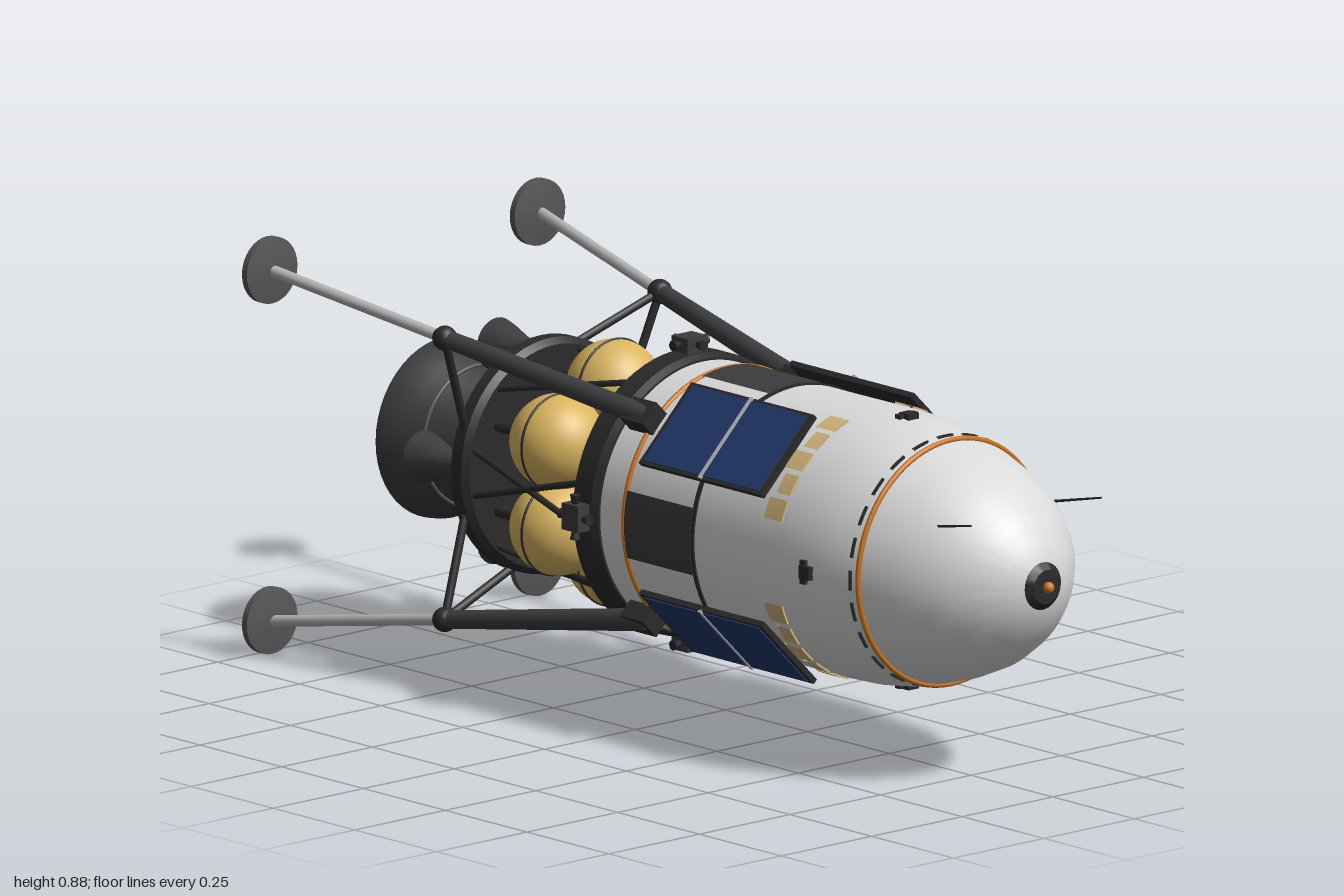
import * as THREE from 'three';
import { toCreasedNormals } from 'three/addons/utils/BufferGeometryUtils.js';

const mat = (name, color) => {
  const m = new THREE.MeshStandardMaterial({ color, side: THREE.DoubleSide });
  m.name = name;
  return m;
};

export function createModel() {
  const white = mat('hull white', 0xdadada);
  const black = mat('charcoal', 0x2a2a2a);
  const dark = mat('dark grey', 0x3c3c3e);
  const grey = mat('mid grey', 0x565658);
  const silver = mat('silver', 0xb4b4b4);
  const orange = mat('orange', 0xc8741e);
  const gold = mat('gold foil', 0xdab560);
  const tan = mat('tan', 0xd2b47c);
  const navy = mat('solar blue', 0x22386a);

  const root = new THREE.Group();
  root.name = 'spacecraft';
  // the long axis of the craft runs along z through this group's origin
  const craft = new THREE.Group();
  craft.name = 'craft';
  craft.position.y = 0.443;
  root.add(craft);

  const add = (parent, name, geo, material, x = 0, y = 0, z = 0) => {
    const m = new THREE.Mesh(geo, material);
    m.name = name;
    m.position.set(x, y, z);
    parent.add(m);
    return m;
  };
  // lathe about z from [radius, z] pairs; optional sector centred on an angle
  const turned = (pts, segs = 64, angle = 0, half = Math.PI) => {
    const g = new THREE.LatheGeometry(pts.map(p => new THREE.Vector2(p[0], p[1])), segs,
      angle + Math.PI / 2 - half, half * 2);
    g.rotateX(Math.PI / 2);
    return toCreasedNormals(g, 0.5);
  };
  // curved plate wrapped on the hull
  const plate = (r0, r1, z0, z1, angle, half, segs = 8) =>
    turned([[r0, z0], [r1, z0], [r1, z1], [r0, z1], [r0, z0]], segs, angle, half);
  const ring = (r, tube) => new THREE.TorusGeometry(r, tube, 8, 72);
  const rod = (parent, name, a, b, r0, r1, material, segs = 12) => {
    const A = new THREE.Vector3(...a), B = new THREE.Vector3(...b);
    const d = B.clone().sub(A);
    const m = add(parent, name, new THREE.CylinderGeometry(r1, r0, d.length(), segs), material);
    m.position.copy(A).add(B).multiplyScalar(0.5);
    m.quaternion.setFromUnitVectors(new THREE.Vector3(0, 1, 0), d.normalize());
    return m;
  };
  // group whose local +x points outward from the axis
  const radial = (name, angle) => {
    const g = new THREE.Group();
    g.name = name;
    g.rotation.z = angle;
    craft.add(g);
    return g;
  };
  const quarter = Math.PI / 2;

  // hull and nose
  add(craft, 'hull', turned([[0, -0.075], [0.283, -0.075], [0.283, 0.3], [0.284, 0.48], [0.281, 0.56],
    [0.271, 0.63], [0.255, 0.69], [0.234, 0.76], [0.204, 0.83], [0.17, 0.88], [0.13, 0.922],
    [0.09, 0.951], [0.045, 0.972], [0, 0.974]], 96), white);
  add(craft, 'noseCap', turned([[0.05, 0.962], [0.05, 0.97], [0.036, 0.982], [0, 0.984]], 32), black);
  add(craft, 'noseTip', new THREE.SphereGeometry(0.012, 16, 12), orange, 0, 0, 0.988);
  add(craft, 'noseBand', ring(0.257, 0.006), orange, 0, 0, 0.69);
  add(craft, 'aftBand', ring(0.283, 0.006), orange, 0, 0, 0.003);
  add(craft, 'middleBand', plate(0.28, 0.287, 0.208, 0.218, 0, Math.PI, 72), black);
  for (let i = 0; i < 24; i++)
    add(craft, 'seamDash', plate(0.255, 0.2645, 0.668, 0.673, i * Math.PI / 12, 0.08, 4), black);
  for (const s of [-1, 1])
    rod(craft, 'antenna', [s * 0.158, 0.125, 0.82], [s * 0.18, 0.153, 0.95], 0.003, 0.002, black, 6);

  // foil patches, with gaps over the three service panels
  for (let i = 0; i < 32; i++) {
    const a = i * Math.PI / 16;
    const k = i % 32;
    if ([7, 8, 9, 15, 16, 17, 23, 24, 25].includes(k)) continue;
    add(craft, 'foilPatch', plate(0.28, 0.288, i % 2 ? 0.435 : 0.42, 0.474, a, 0.078, 3), tan);
  }

  // service panels and side hatch
  for (const a of [1, 2, 3])
    add(craft, 'servicePanel', plate(0.28, 0.288, 0.008, 0.21, a * quarter, 0.25), dark);
  add(craft, 'hatchFrame', plate(0.28, 0.291, 0.218, 0.449, 0, 0.275), black);
  add(craft, 'hatchDoor', plate(0.285, 0.294, 0.23, 0.437, 0, 0.245), grey);
  add(craft, 'hatchTrim', plate(0.28, 0.296, 0.449, 0.453, 0, 0.29), orange);

  // solar panels and landing legs on the diagonals
  for (let i = 0; i < 4; i++) {
    const a = Math.PI / 4 + i * quarter;
    const panel = radial('solarPanel', a);
    add(panel, 'panelFrame', new THREE.BoxGeometry(0.012, 0.206, 0.375), black, 0.293, 0, 0.236);
    for (const z of [0.146, 0.326])
      add(panel, 'solarCells', new THREE.BoxGeometry(0.006, 0.192, 0.17), navy, 0.299, 0, z);
    add(panel, 'panelStrip', new THREE.BoxGeometry(0.007, 0.206, 0.009), silver, 0.3, 0, 0.236);

    const leg = radial('landingLeg', a);
    const knee = [0.42, 0, -0.53];
    add(leg, 'legMount', new THREE.BoxGeometry(0.05, 0.055, 0.07), black, 0.298, 0, -0.015);
    rod(leg, 'upperLeg', [0.302, 0, 0], knee, 0.024, 0.019, dark, 16);
    add(leg, 'knee', new THREE.SphereGeometry(0.026, 16, 12), black, ...knee);
    rod(leg, 'lowerLeg', knee, [0.523, 0, -0.975], 0.012, 0.012, silver);
    const pad = add(leg, 'footPad', turned([[0, -0.015], [0.062, -0.015], [0.07, -0.007],
      [0.07, 0.008], [0.025, 0.015], [0, 0.015]], 32), grey, 0.523, 0, -0.985);
    pad.castShadow = true;
    for (const s of [-1, 1])
      rod(leg, 'legBrace', knee, [0.235 * Math.cos(0.43), s * 0.235 * Math.sin(0.43), -0.55],
        0.009, 0.009, black, 8);
  }

  // thruster blocks, sensors and small engines on the main directions
  const cone = new THREE.CylinderGeometry(0.006, 0.011, 0.022, 12);
  for (let i = 0; i < 4; i++) {
    const block = radial('thrusterBlock', i * quarter);
    add(block, 'thrusterBody', new THREE.BoxGeometry(0.032, 0.056, 0.05), dark, 0.315, 0, -0.11);
    for (const s of [-1, 1]) {
      const side = add(block, 'sideNozzle', cone, black, 0.316, s * 0.036, -0.11);
      side.rotation.z = s > 0 ? Math.PI : 0;
      const fore = add(block, 'axialNozzle', cone, black, 0.316, 0, -0.11 + s * 0.033);
      fore.rotation.x = -s * quarter;
    }
    const sensor = radial('sensorCluster', i * quarter);
    add(sensor, 'sensorBase', new THREE.BoxGeometry(0.016, 0.028, 0.03), black, 0.283, 0, 0.56);
    add(sensor, 'sensorBar', new THREE.BoxGeometry(0.012, 0.05, 0.015), black, 0.283, 0, 0.553);

    const engine = radial('smallEngine', i * quarter);
    add(engine, 'smallBell', turned([[0.055, -0.7], [0.047, -0.67], [0.033, -0.63], [0.026, -0.6],
      [0.03, -0.57]], 28), dark, 0.205, 0, 0);
    add(engine, 'smallThroat', new THREE.CircleGeometry(0.032, 24), black, 0.205, 0, -0.63);
  }

  // aft ring, thrust column and engine deck
  add(craft, 'aftRing', turned([[0, -0.155], [0.25, -0.155], [0.285, -0.15], [0.297, -0.138],
    [0.297, -0.085], [0.288, -0.07], [0.27, -0.07]], 72), black);
  add(craft, 'thrustColumn', turned([[0.075, -0.54], [0.075, -0.15]], 32), grey);
  add(craft, 'engineDeck', turned([[0, -0.575], [0.22, -0.575], [0.248, -0.565], [0.248, -0.535],
    [0.235, -0.523], [0, -0.523]], 64), black);

  // propellant tanks with crossed truss between ring and deck
  const polar = (r, a, z) => [r * Math.cos(a), r * Math.sin(a), z];
  for (let i = 0; i < 6; i++) {
    const a = Math.PI / 6 + i * Math.PI / 3;
    const tank = radial('tank', a);
    add(tank, 'tankSphere', new THREE.SphereGeometry(0.1, 32, 24), gold, 0.18, 0, -0.34);
    add(tank, 'tankBand', ring(0.1, 0.003), black, 0.18, 0, -0.34);
    rod(tank, 'tankPost', [0.18, 0, -0.53], [0.18, 0, -0.15], 0.012, 0.012, black, 8);
    for (const s of [-1, 1])
      rod(craft, 'trussStrut', polar(0.25, a + Math.PI / 6 + s * 0.22, -0.15),
        polar(0.225, a + Math.PI / 6 - s * 0.22, -0.53), 0.007, 0.007, black, 8);
  }

  // main engine
  add(craft, 'engineNeck', turned([[0.07, -0.68], [0.065, -0.57]], 32), grey);
  add(craft, 'mainBell', turned([[0.19, -0.86], [0.187, -0.835], [0.162, -0.79], [0.135, -0.74],
    [0.112, -0.69], [0.097, -0.635], [0.06, -0.625]], 48), dark);
  add(craft, 'mainThroat', new THREE.CircleGeometry(0.1, 32), grey, 0, 0, -0.66);
  add(craft, 'bellBand', ring(0.148, 0.004), grey, 0, 0, -0.76);

  return root;
}
